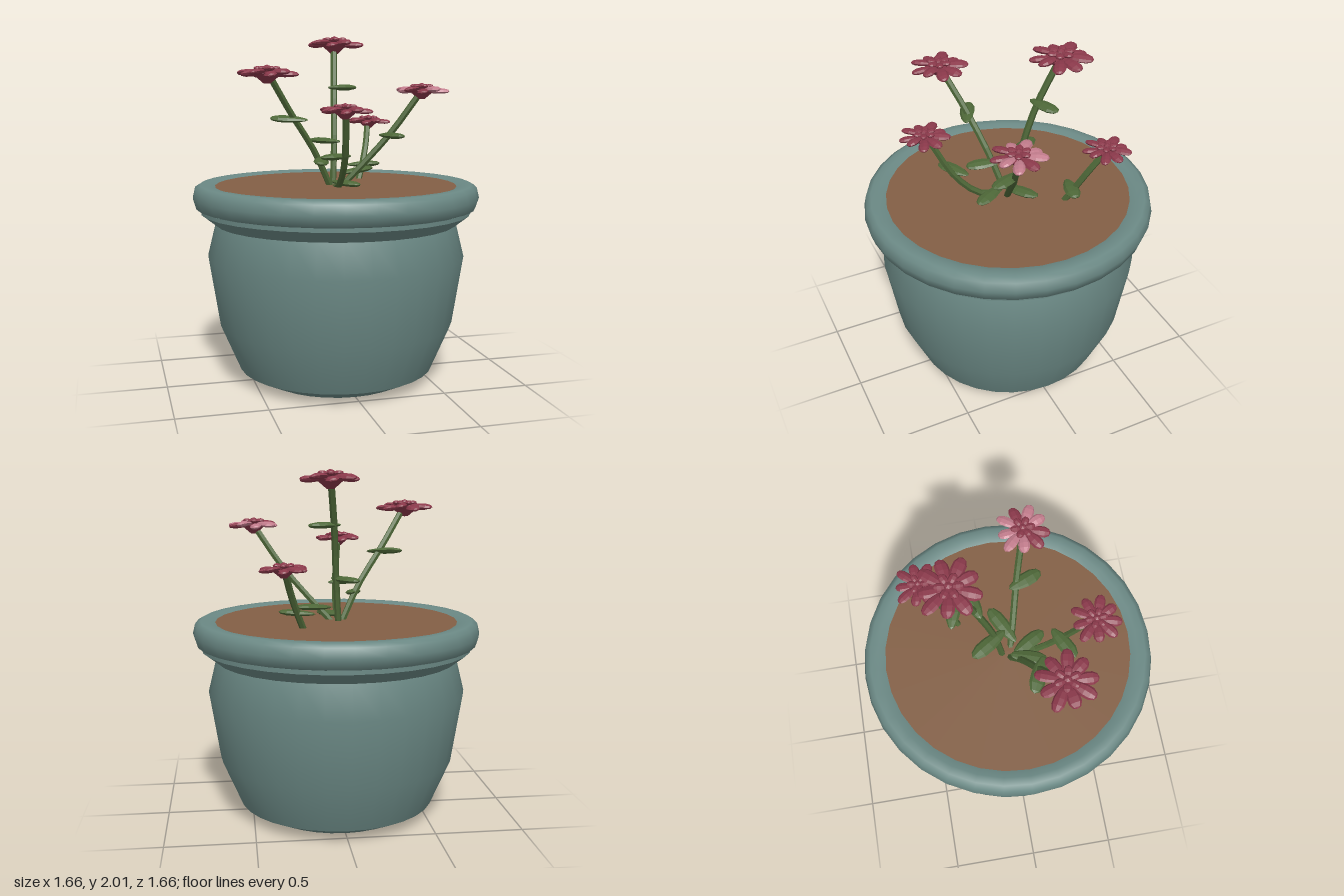
import * as THREE from 'three';

const mat = (name, color, extra = {}) => Object.assign(new THREE.MeshStandardMaterial({ color, ...extra }), { name });
const V = (p) => new THREE.Vector3(...p);

export function createModel() {
  const glaze = mat('potGlaze', 0x6b8985, { side: THREE.DoubleSide });
  const soilMat = mat('soilBrown', 0x835f45);
  const green = mat('stemGreen', 0x4e6838, { flatShading: true });
  const red = mat('petalRed', 0x8b394b, { flatShading: true });
  const pink = mat('petalPink', 0xc27c8c, { flatShading: true });

  const model = new THREE.Group();
  model.name = 'pottedFlowers';
  const add = (parent, name, geometry, material) => {
    const mesh = new THREE.Mesh(geometry, material);
    mesh.name = name;
    parent.add(mesh);
    return mesh;
  };

  // Pot: one lathe per smooth band, so the joints between bands stay sharp
  const bands = {
    potBase: [[0, 0], [0.43, 0]],
    potFoot: [[0.43, 0], [0.57, 0.07]],
    potBody: [[0.57, 0.07], [0.685, 0.34], [0.747, 0.735], [0.7, 0.925]],
    potNeck: [[0.7, 0.925], [0.783, 0.99]],
    potLedge: [[0.783, 0.99], [0.783, 1.012]],
    potRim: [[0.775, 1.012], [0.81, 1.022], [0.828, 1.08], [0.815, 1.135], [0.785, 1.153], [0.74, 1.155], [0.697, 1.14]],
  };
  for (const [name, pts] of Object.entries(bands)) {
    add(model, name, new THREE.LatheGeometry(pts.map((p) => new THREE.Vector2(...p)), 32), glaze);
  }
  const soil = add(model, 'soil', new THREE.CircleGeometry(0.7, 32), soilMat);
  soil.rotation.x = -Math.PI / 2;
  soil.position.y = 1.142;

  // Leaf and petal blank: a flattened low-poly lens along +x, narrow at its root
  const blade = (length, width, thick, droop = 0) => {
    const g = new THREE.SphereGeometry(0.5, 8, 6);
    g.rotateZ(-Math.PI / 2);
    const p = g.attributes.position;
    for (let i = 0; i < p.count; i++) {
      const t = p.getX(i) + 0.5;
      const taper = 0.7 + 0.42 * t;
      p.setXYZ(i, t * length, p.getY(i) * thick * taper - droop * t * t, p.getZ(i) * width * taper);
    }
    g.computeVertexNormals();
    return g;
  };

  const makeLeaf = (parent, from, to) => {
    const a = V(from), d = V(to).sub(a);
    const leaf = add(parent, 'leaf', blade(d.length(), 0.095, 0.04), green);
    leaf.position.copy(a);
    leaf.quaternion.setFromUnitVectors(new THREE.Vector3(1, 0, 0), d.normalize());
  };

  // Flower head: green-free cup below, a ring of long petals and a small inner ring
  const makeHead = (parent, at, radius, turn, pinkPetals) => {
    const head = new THREE.Group();
    head.name = 'flowerHead';
    head.position.copy(V(at));
    head.rotation.y = turn;
    head.scale.setScalar(radius / 0.17);
    parent.add(head);
    const cup = add(head, 'cup', new THREE.CylinderGeometry(0.085, 0.02, 0.055, 8), red);
    cup.position.y = -0.032;
    const count = 9;
    for (let i = 0; i < count; i++) {
      const angle = (i / count) * Math.PI * 2;
      const length = 0.135 + 0.014 * Math.sin(i * 2.6);
      const petal = add(head, 'petal', blade(length, 0.078, 0.038, 0.006), pinkPetals.includes(i) ? pink : red);
      petal.position.set(Math.cos(angle) * 0.03, (i % 2) * 0.012 - 0.006, -Math.sin(angle) * 0.03);
      petal.rotation.set(0.18, angle, 0.03 * Math.sin(i * 1.9), 'YZX');
    }
    for (let i = 0; i < 6; i++) {
      const angle = (i / 6) * Math.PI * 2 + 0.3;
      const petal = add(head, 'innerPetal', blade(0.075, 0.05, 0.03), red);
      petal.position.y = 0.016;
      petal.rotation.set(0, angle, 0.12, 'YZX');
    }
    add(head, 'flowerCentre', new THREE.SphereGeometry(0.028, 7, 4), red).position.y = 0.016;
  };

  // Each plant: stem path, head centre and radius, leaves as root and tip
  const plants = [
    {
      name: 'tallFlower', head: [0.065, 1.96, -0.28], radius: 0.175, turn: 0.15,
      stem: [[-0.01, 1.1, -0.03], [0.01, 1.39, -0.075], [0.03, 1.68, -0.16], [0.06, 1.93, -0.27]],
      leaves: [[[0.03, 1.39, -0.01], [-0.1, 1.39, -0.21]], [[-0.01, 1.7, -0.14], [0.18, 1.7, -0.21]]],
    },
    {
      name: 'leftwardFlower', head: [-0.44, 1.785, 0.22], radius: 0.165, turn: 0.5,
      stem: [[-0.02, 1.1, 0], [-0.14, 1.34, 0.06], [-0.29, 1.56, 0.13], [-0.42, 1.76, 0.21]],
      leaves: [[[-0.2, 1.525, 0.16], [-0.4, 1.535, 0.07]], [[-0.08, 1.3, 0], [-0.14, 1.28, 0.2]]],
    },
    {
      name: 'frontFlower', head: [-0.07, 1.59, 0.46], radius: 0.142, turn: 0.3,
      stem: [[-0.02, 1.12, 0], [-0.02, 1.16, 0.16], [-0.03, 1.31, 0.31], [-0.06, 1.56, 0.44]],
      leaves: [[[0.02, 1.33, 0.25], [-0.17, 1.33, 0.35]], [[-0.03, 1.165, 0.03], [0.08, 1.16, 0.22]]],
    },
    {
      name: 'twoToneFlower', head: [0.465, 1.69, 0.16], radius: 0.152, turn: 0.25, pink: [1, 2, 3, 4, 7, 8],
      stem: [[0, 1.1, 0.01], [0.11, 1.22, 0.045], [0.3, 1.44, 0.1], [0.45, 1.66, 0.155]],
      leaves: [[[0.02, 1.21, 0.05], [0.24, 1.23, -0.07]], [[0.25, 1.43, 0.05], [0.33, 1.43, 0.24]]],
    },
    {
      name: 'backFlower', head: [0.33, 1.49, -0.44], radius: 0.138, turn: 0.1,
      stem: [[0.2, 1.1, -0.24], [0.25, 1.23, -0.3], [0.29, 1.35, -0.36], [0.32, 1.46, -0.43]],
      leaves: [[[0.15, 1.225, -0.3], [0.35, 1.235, -0.25]]],
    },
  ];
  for (const p of plants) {
    const plant = new THREE.Group();
    plant.name = p.name;
    model.add(plant);
    const path = new THREE.CatmullRomCurve3(p.stem.map(V));
    add(plant, 'stem', new THREE.TubeGeometry(path, 8, 0.019, 6), green);
    p.leaves.forEach(([from, to]) => makeLeaf(plant, from, to));
    makeHead(plant, p.head, p.radius, p.turn, p.pink ?? []);
  }
  return model;
}
